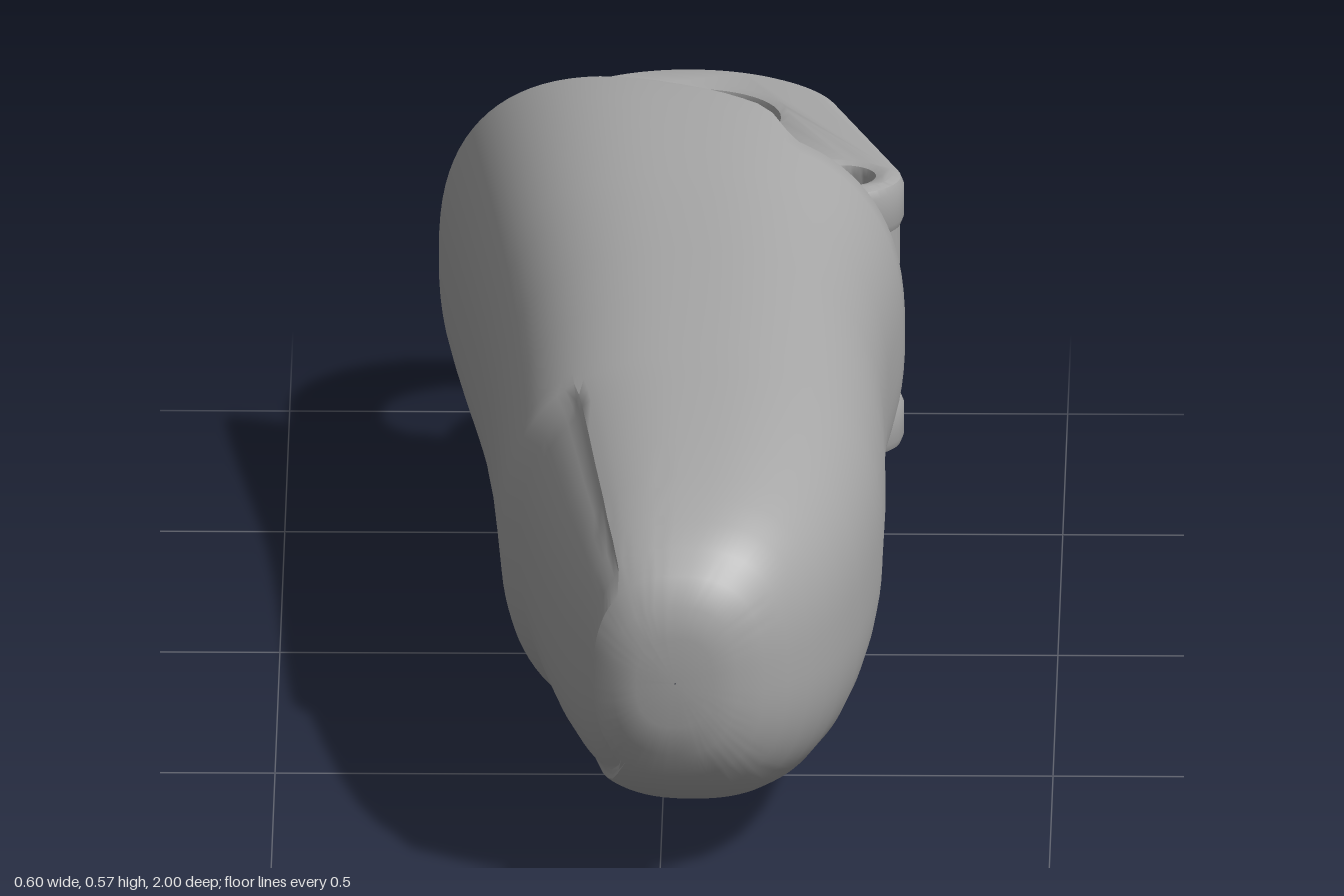
import * as THREE from 'three';
import { toCreasedNormals } from 'three/addons/utils/BufferGeometryUtils.js';

const CY = 0.2875, SEG = 96;
// cross-sections from the tip to the open end: z, min x, max x, half height
const SECTIONS = [
  [1, 0.02, 0.021, 0.001], [0.998, -0.03, 0.07, 0.06], [0.99, -0.06, 0.1, 0.1], [0.97, -0.085, 0.135, 0.135],
  [0.94, -0.105, 0.165, 0.163], [0.9, -0.12, 0.192, 0.187], [0.85, -0.135, 0.215, 0.204], [0.8, -0.146, 0.232, 0.216],
  [0.7, -0.165, 0.254, 0.23], [0.6, -0.18, 0.267, 0.24], [0.5, -0.194, 0.276, 0.246], [0.46, -0.2, 0.278, 0.248],
  [0.42, -0.208, 0.28, 0.25], [0.38, -0.212, 0.28, 0.252], [0.2, -0.22, 0.281, 0.26], [0, -0.23, 0.277, 0.261],
  [-0.2, -0.245, 0.28, 0.262], [-0.3, -0.255, 0.286, 0.267], [-0.4, -0.266, 0.294, 0.274], [-0.5, -0.277, 0.3, 0.281],
  [-0.6, -0.289, 0.303, 0.286], [-0.78, -0.307, 0.304, 0.287],
];

function sectionAt(z) {
  let i = 0;
  while (i < SECTIONS.length - 2 && SECTIONS[i + 1][0] > z) i++;
  const a = SECTIONS[i], b = SECTIONS[i + 1];
  const t = THREE.MathUtils.clamp((a[0] - z) / (a[0] - b[0]), 0, 1);
  return a.map((v, k) => v + (b[k] - v) * t);
}

// point on a rounded-square section
function rim(z, angle) {
  const [, x0, x1, h] = sectionAt(z);
  const c = Math.cos(angle), s = Math.sin(angle), p = 2 / 2.5;
  let x = (x0 + x1) / 2 + (x1 - x0) / 2 * Math.sign(c) * Math.abs(c) ** p;
  const y = CY + h * Math.sign(s) * Math.abs(s) ** p;
  // shallow sunken pad on one side of the tip
  const side = 1 - THREE.MathUtils.smoothstep(Math.abs(angle - Math.PI), 0.85, 1.0);
  const along = 1 - THREE.MathUtils.smoothstep(z, 0.42, 0.46);
  if (z < 0.97) x += 0.014 * side * (1 - along);
  return [x, y];
}

// slanted rear end with a pocket for the hinge
function rearZ(x) {
  const slant = -0.78 + (x + 0.305) * 0.51;
  return THREE.MathUtils.lerp(Math.max(slant, -0.79), -0.475, THREE.MathUtils.smoothstep(x, 0.115, 0.165));
}

function bodyGeometry() {
  const pos = [], index = [];
  let rows = 0;
  const addRow = (fn) => {
    for (let j = 0; j <= SEG; j++) pos.push(...fn((j % SEG) / SEG * Math.PI * 2));
    rows++;
  };
  for (const [z] of SECTIONS) {
    if (z > -0.35) addRow((a) => [...rim(z, a), z]);
  }
  const rearRim = (a) => {
    let z = -0.6;
    for (let k = 0; k < 3; k++) z = rearZ(rim(z, a)[0]);
    return [...rim(z, a), z];
  };
  // walls running up to the slanted end
  for (const t of [0.25, 0.5, 0.75, 0.94]) {
    addRow((a) => {
      const z = THREE.MathUtils.lerp(-0.3, rearRim(a)[2], t);
      return [...rim(z, a), z];
    });
  }
  // rounded lip, shallow recess and floor
  const cap = [[0.995, 0.008], [0.97, 0], [0.92, 0], [0.89, 0.01], [0.88, 0.03],
    [0.75, 0.03], [0.6, 0.03], [0.45, 0.03], [0.3, 0.03], [0.15, 0.03], [0, 0.03]];
  for (const [s, inset] of cap) {
    addRow((a) => {
      const [x, y] = rearRim(a);
      const px = x * s;
      return [px, CY + (y - CY) * s, rearZ(px) + inset];
    });
  }
  for (let i = 0; i < rows - 1; i++) {
    for (let j = 0; j < SEG; j++) {
      const a = i * (SEG + 1) + j, c = a + SEG + 1;
      index.push(a, c, a + 1, a + 1, c, c + 1);
    }
  }
  const g = new THREE.BufferGeometry();
  g.setAttribute('position', new THREE.Float32BufferAttribute(pos, 3));
  g.setIndex(index);
  return toCreasedNormals(g, 0.6);
}

// extrude a plan outline upwards, with softened edges
function plate(shape, y0, y1, bevel) {
  const g = new THREE.ExtrudeGeometry(shape, {
    depth: y1 - y0 - 2 * bevel, curveSegments: 24, bevelEnabled: bevel > 0,
    bevelThickness: bevel, bevelSize: bevel, bevelOffset: -bevel, bevelSegments: 2,
  });
  g.rotateX(-Math.PI / 2).translate(0, y0 + bevel, 0);
  return toCreasedNormals(g, 0.6);
}

function hole(shape, x, y, r) {
  shape.holes.push(new THREE.Path().absarc(x, y, r, 0, Math.PI * 2, false));
  return shape;
}

export function createModel() {
  const grey = new THREE.MeshStandardMaterial({ color: 0xa6a6a6 });
  grey.name = 'plain grey';
  const model = new THREE.Group();
  model.name = 'fingerSegment';
  const add = (name, geometry) => {
    const m = new THREE.Mesh(geometry, grey);
    m.name = name;
    model.add(m);
  };

  add('body', bodyGeometry());

  // pair of lugs, each with a large joint hole and a small pin hole
  const lug = new THREE.Shape();
  lug.moveTo(-0.185, 0.66);
  lug.lineTo(-0.185, 0.8);
  lug.absarc(0.015, 0.8, 0.2, Math.PI, 0.3, true);
  lug.absarc(0.215, 0.56, 0.08, 0.3, -2.4, true);
  lug.lineTo(0.08, 0.48);
  hole(lug, 0.015, 0.8, 0.115);
  hole(lug, 0.215, 0.56, 0.04);

  // pin hub on the inner face of each lug
  const hub = new THREE.Shape();
  hub.moveTo(0.1, 0.635);
  hub.lineTo(0.215, 0.635);
  hub.absarc(0.215, 0.56, 0.075, Math.PI / 2, -Math.PI / 2, true);
  hub.lineTo(0.1, 0.485);
  hole(hub, 0.215, 0.56, 0.04);

  for (const [side, y0, h0] of [['upper', 0.4, 0.35], ['lower', 0.105, 0.165]]) {
    add(side + 'Lug', plate(lug, y0, y0 + 0.07, 0.014));
    add(side + 'PinHub', plate(hub, h0, h0 + 0.06, 0));
  }

  // bridge between the hubs, set back from the pin
  const bridge = new THREE.BoxGeometry(0.07, 0.13, 0.16);
  bridge.translate(0.125, CY, -0.555);
  add('hubBridge', bridge);
  return model;
}
